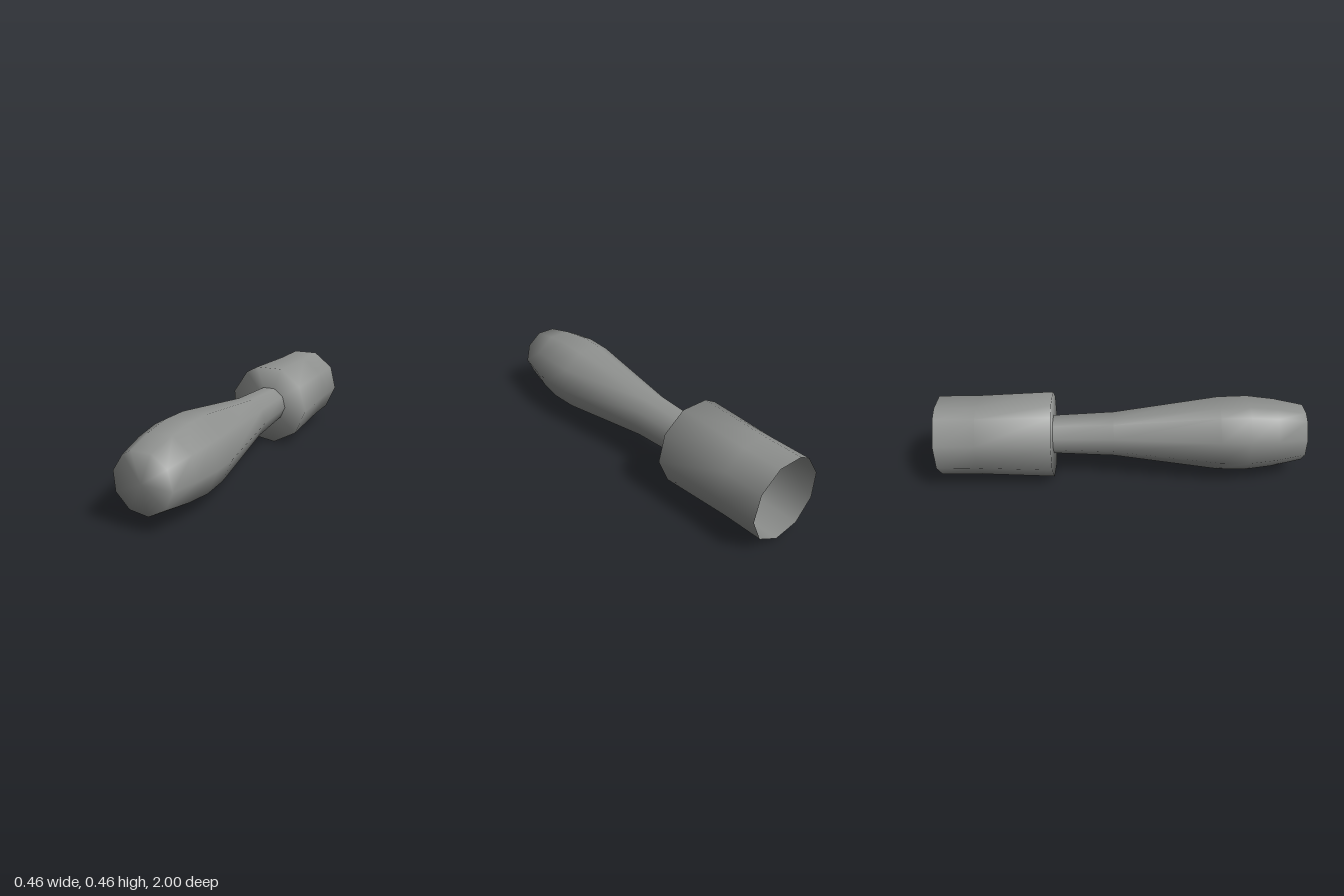
import * as THREE from 'three';

const CX = -0.004, CY = 0.237;   // axis of the tool
const SIDES = 10;
const STEP = (Math.PI * 2) / 9.5; // nine full steps, then one half-width facet
const START = Math.PI / 2 + STEP / 2;

// Smooth faceted shell around the z axis from [z, radius] rings, front to back.
// capZ closes the front end with a centre point.
function shell(name, rings, capZ, material) {
  const pos = [], index = [];
  for (const [z, r] of rings) {
    for (let k = 0; k < SIDES; k++) {
      const a = START - k * STEP;
      pos.push(CX + r * Math.cos(a), CY + r * Math.sin(a), z);
    }
  }
  for (let i = 0; i < rings.length - 1; i++) {
    for (let k = 0; k < SIDES; k++) {
      const a = i * SIDES + k, b = i * SIDES + (k + 1) % SIDES;
      const c = a + SIDES, d = b + SIDES;
      index.push(a, b, c, b, d, c);
    }
  }
  const centre = pos.length / 3;
  pos.push(CX, CY, capZ);
  for (let k = 0; k < SIDES; k++) index.push(centre, (k + 1) % SIDES, k);

  const geometry = new THREE.BufferGeometry();
  geometry.setAttribute('position', new THREE.Float32BufferAttribute(pos, 3));
  geometry.setIndex(index);
  geometry.computeVertexNormals();
  const mesh = new THREE.Mesh(geometry, material);
  mesh.name = name;
  return mesh;
}

export function createModel() {
  const group = new THREE.Group();
  group.name = 'handledSocket';
  const grey = new THREE.MeshStandardMaterial({ color: 0x8f918f, side: THREE.DoubleSide });
  grey.name = 'grey';

  // Bulbous grip narrowing to a slim neck
  group.add(shell('handle', [
    [0.99, 0.154], [0.83, 0.188], [0.68, 0.2065], [0.52, 0.202],
    [-0.05, 0.122], [-0.38, 0.106],
  ], 1.0, grey));

  // Socket: closed at the neck, open at the back
  group.add(shell('socket', [
    [-0.38, 0.236], [-0.78, 0.219], [-1.0, 0.218],
  ], -0.38, grey));

  return group;
}
